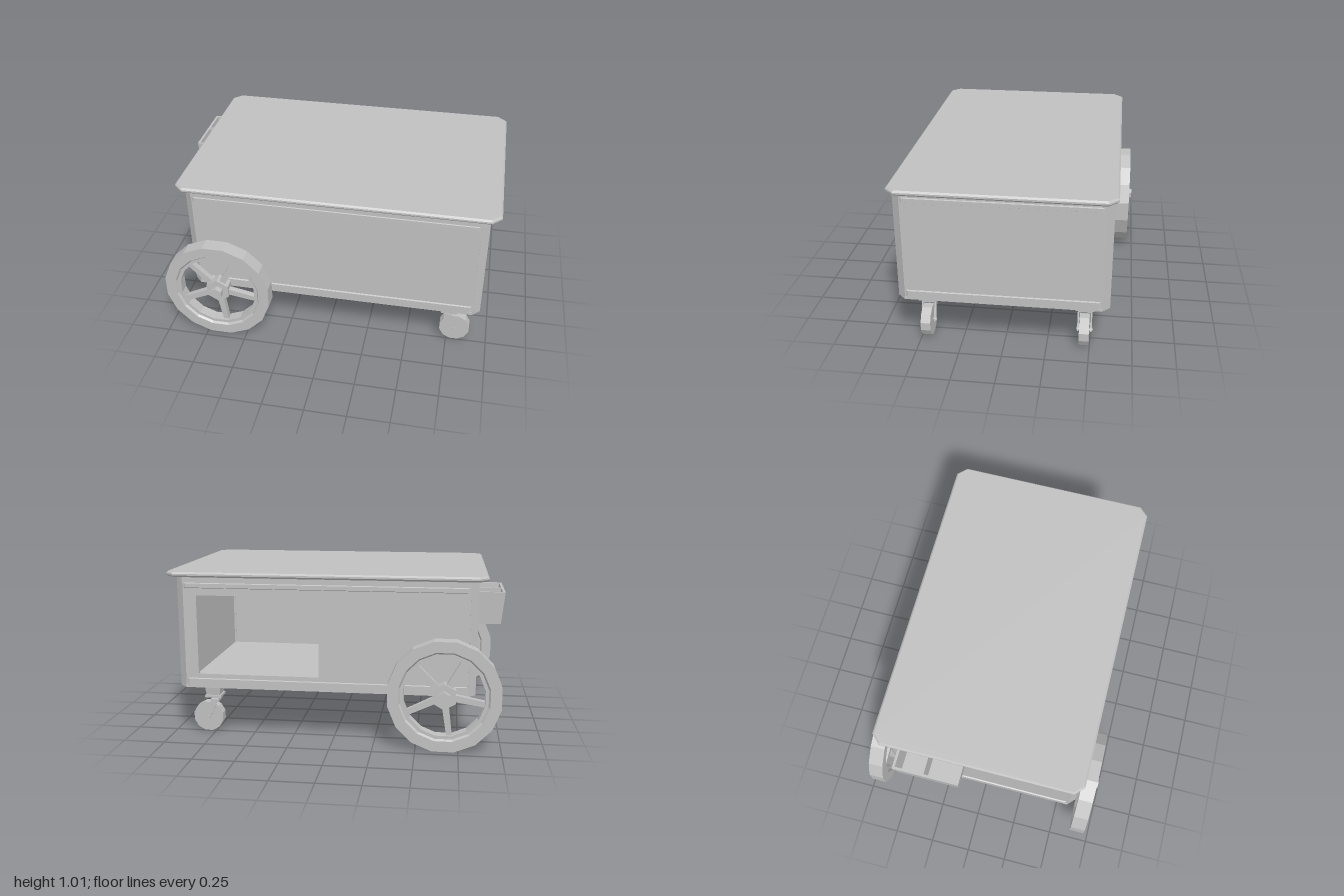
import * as THREE from 'three';

const grey = new THREE.MeshStandardMaterial({ color: 0xc0c0c0, flatShading: true });
grey.name = 'plain grey';

function add(parent, name, geo, x = 0, y = 0, z = 0) {
  const m = new THREE.Mesh(geo, grey);
  m.name = name;
  m.position.set(x, y, z);
  parent.add(m);
  return m;
}
const box = (w, h, d) => new THREE.BoxGeometry(w, h, d);

// Polygon in plan (x, z) raised along y
function slab(points, height, bevel = 0) {
  const shape = new THREE.Shape(points.map(([x, z]) => new THREE.Vector2(x, -z)));
  const geo = new THREE.ExtrudeGeometry(shape, {
    depth: height, bevelEnabled: bevel > 0, bevelSize: bevel, bevelThickness: bevel, bevelSegments: 1,
  });
  return geo.rotateX(-Math.PI / 2);
}
// Rectangle with cut corners
const cutRect = (a, b, c) => [
  [a, b - c], [a - c, b], [c - a, b], [-a, b - c], [-a, c - b], [c - a, -b], [a - c, -b], [a, c - b],
];
// Move every vertex by a rule
function warp(geo, rule) {
  const p = geo.attributes.position, v = new THREE.Vector3();
  for (let i = 0; i < p.count; i++) {
    rule(v.fromBufferAttribute(p, i));
    p.setXYZ(i, v.x, v.y, v.z);
  }
  geo.computeVertexNormals();
  return geo;
}

const CX = 0.0475, HX = 0.8925, HZ = 0.61, CUT = 0.045;
const Y0 = 0.31, Y1 = 0.985, WALL = 0.025, INSET = 0.008;

// Bevelled moulding whose outer face (+z) is shortened all round
function rail(length, height) {
  const geo = box(length, height, 0.012);
  return warp(geo, (v) => {
    if (v.z > 0) { v.x -= Math.sign(v.x) * 0.02; v.y -= Math.sign(v.y) * 0.006; }
  });
}

function makeBody() {
  const body = new THREE.Group();
  body.name = 'cabinet';
  body.position.x = CX;
  const h = Y1 - Y0, midY = (Y0 + Y1) / 2;

  add(body, 'floor', slab(cutRect(HX, HZ, CUT), 0.015), 0, Y0);
  // Cut corner posts
  for (const sx of [-1, 1]) for (const sz of [-1, 1]) {
    const post = [[0, 0.045], [0.045, 0], [0.045, 0.035], [0.035, 0.045]]
      .map(([a, b]) => [sx * (HX - a), sz * (HZ - b)]);
    add(body, 'cornerPost', slab(post, h), 0, Y0);
  }
  // Walls
  const w = 2 * (HX - CUT), d = 2 * (HZ - CUT);
  const wallZ = HZ - INSET - WALL / 2, wallX = HX - INSET - WALL / 2;
  add(body, 'frontWall', box(w, h, WALL), 0, midY, wallZ);
  for (const s of [-1, 1]) add(body, 'endWall', box(WALL, h, d), s * wallX, midY, 0);

  // Back wall with the open compartment
  const back = new THREE.Shape([[-w / 2, Y0], [w / 2, Y0], [w / 2, Y1], [-w / 2, Y1]].map((p) => new THREE.Vector2(...p)));
  const l = 0.08 - CX, r = 0.815 - CX;
  back.holes.push(new THREE.Path([[l, 0.395], [l, 0.875], [r, 0.875], [r, 0.395]].map((p) => new THREE.Vector2(...p))));
  add(body, 'backWall', new THREE.ExtrudeGeometry(back, { depth: WALL, bevelEnabled: false }), 0, 0, -HZ + INSET);

  // Mouldings on all four sides
  for (let i = 0; i < 4; i++) {
    const side = new THREE.Group();
    side.name = 'sideMouldings';
    side.rotation.y = i * Math.PI / 2;
    const len = i % 2 ? d : w, out = (i % 2 ? HX : HZ) - 0.006;
    add(side, 'upperMoulding', rail(len, 0.036), 0, 0.934, out);
    add(side, 'lowerMoulding', rail(len, 0.06), 0, Y0 + 0.03, out);
    add(side, 'topRail', box(len, 0.032, 0.012), 0, 0.969, out);
    body.add(side);
  }
  return body;
}

// Open tray with two compartments on the end
function makeBin() {
  const bin = new THREE.Group();
  bin.name = 'endBin';
  const top = 0.91, low = 0.72, h = top - low, t = 0.015, inner = -0.84, outer = -1;
  const zc = -0.28, hz = 0.2;
  const wall = (name, w, hh, d, x, y, z) => {
    const geo = box(w, hh, d).translate(x, y, z);
    warp(geo, (v) => {
      const k = (top - v.y) / h;
      v.x += 0.02 * k * (inner - v.x) / (inner - outer);
      v.z -= (v.z - zc) * 0.06 * k;
    });
    add(bin, name, geo);
  };
  const cx = (inner + outer) / 2, cy = (top + low) / 2, w = inner - outer;
  wall('binFloor', w, t, 2 * hz, cx, low + t / 2, zc);
  wall('binFront', t, h, 2 * hz, outer + t / 2, cy, zc);
  for (const s of [-1, 1]) wall('binSide', w, h, t, cx, cy, zc + s * (hz - t / 2));
  wall('binDivider', w, h, 0.018, cx, cy, -0.3);
  return bin;
}

// Large five-spoke wheel, axis along z
function makeWheel() {
  const wheel = new THREE.Group();
  wheel.name = 'largeWheel';
  const profile = [
    [0.333, -0.045], [0.333, 0.045], [0.268, 0.045], [0.258, 0.032], [0.238, 0.032],
    [0.238, -0.032], [0.258, -0.032], [0.268, -0.045], [0.333, -0.045],
  ].map((p) => new THREE.Vector2(...p));
  add(wheel, 'rim', new THREE.LatheGeometry(profile, 16, Math.PI / 16).rotateX(Math.PI / 2));
  for (let i = 0; i < 5; i++) {
    const geo = warp(box(0.2, 0.04, 0.035).translate(0.145, 0, 0), (v) => { if (v.x > 0.15) v.y *= 0.8; });
    add(wheel, 'spoke', geo).rotation.z = THREE.MathUtils.degToRad(62 + 72 * i);
  }
  const hex = (r, len) => new THREE.CylinderGeometry(r, r, len, 6).rotateX(Math.PI / 2);
  add(wheel, 'hub', hex(0.078, 0.065));
  add(wheel, 'axle', hex(0.037, 0.125), 0, 0, 0.004);
  return wheel;
}

// Swivel caster with a trailing fork
function makeCaster() {
  const caster = new THREE.Group();
  caster.name = 'caster';
  const mount = warp(box(0.105, 0.08, 0.105), (v) => { if (v.y < 0) { v.x *= 0.78; v.z *= 0.8; } });
  add(caster, 'mount', mount, 0.76, 0.272, 0);
  add(caster, 'swivelPlate', box(0.1, 0.014, 0.108), 0.758, 0.228, 0);
  add(caster, 'swivelPin', box(0.04, 0.02, 0.04), 0.752, 0.212, 0);
  add(caster, 'forkBridge', box(0.05, 0.014, 0.084), 0.752, 0.2, 0);
  for (const s of [-1, 1]) {
    const arm = warp(box(0.045, 0.125, 0.01), (v) => {
      if (v.y < 0) v.x = v.x * 0.5 + 0.045;
    });
    add(caster, 'forkArm', arm, 0.752, 0.144, s * 0.038);
  }
  const disc = (r, len, n) => new THREE.CylinderGeometry(r, r, len, n, 1, false, Math.PI / n).rotateX(Math.PI / 2);
  add(caster, 'casterWheel', disc(0.095, 0.058, 12), 0.797, 0.0925, 0);
  add(caster, 'casterAxle', disc(0.011, 0.094, 6), 0.797, 0.0925, 0);
  return caster;
}

export function createModel() {
  const cart = new THREE.Group();
  cart.name = 'cart';
  cart.add(makeBody(), makeBin());

  // Worktop with bevelled rim
  add(cart, 'worktop', slab(cutRect(0.94, 0.62, 0.048), 0.01, 0.01), 0.05, 0.995);

  for (const s of [-1, 1]) {
    const wheel = makeWheel();
    wheel.position.set(-0.663, 0.33, s * 0.665);
    if (s < 0) wheel.rotation.y = Math.PI;
    const caster = makeCaster();
    caster.position.z = s * 0.467;
    cart.add(wheel, caster);
  }
  return cart;
}
